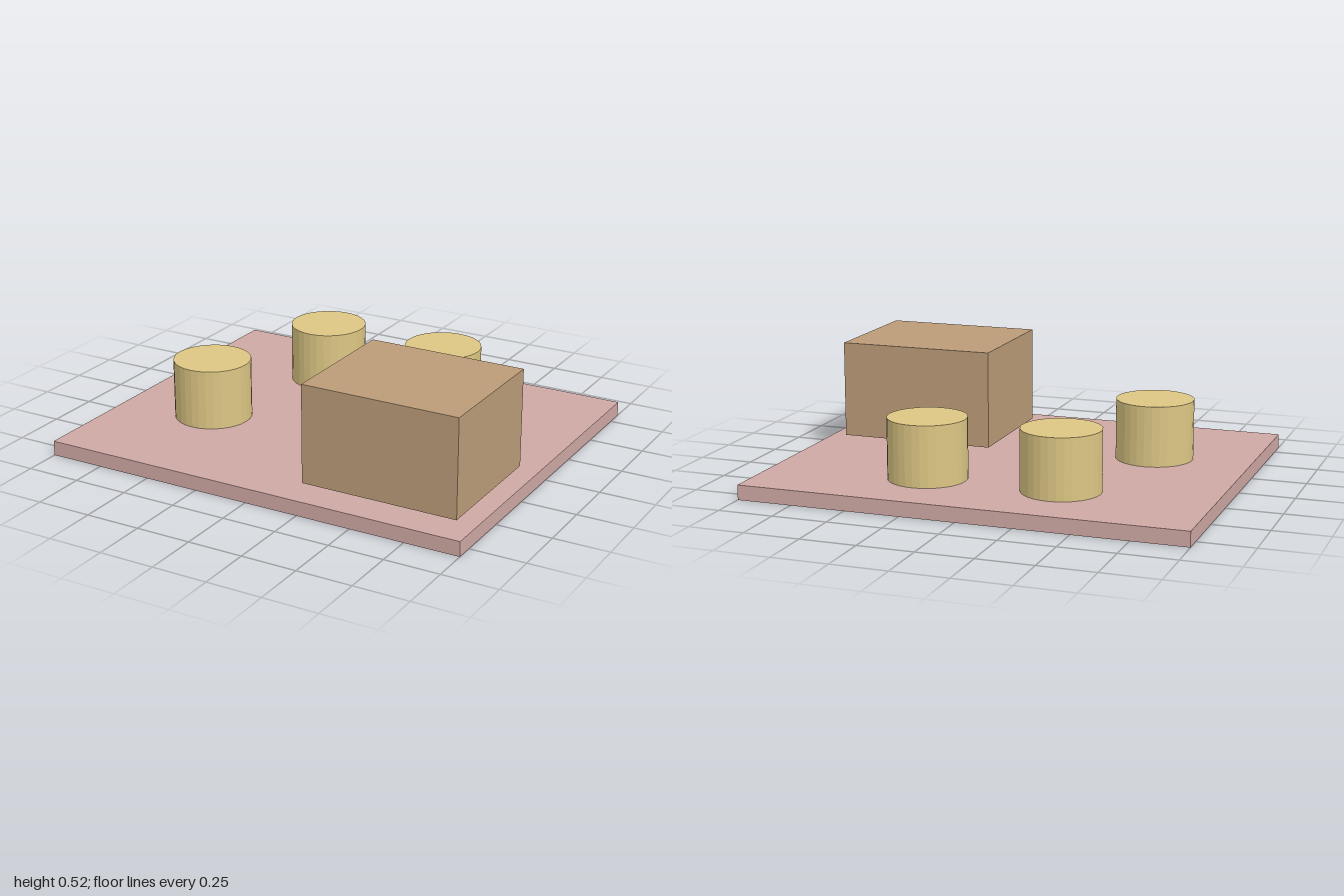
import * as THREE from 'three';

export function createModel() {
  const model = new THREE.Group();
  const mat = (color) => new THREE.MeshStandardMaterial({ color, flatShading: true });
  const rose = mat(0xcfa8a4), straw = mat(0xdcc684), tan = mat(0xbb9c79);

  const add = (name, geometry, material, x, y, z) => {
    const mesh = new THREE.Mesh(geometry, material);
    mesh.name = name;
    mesh.position.set(x, y, z);
    model.add(mesh);
  };

  // Floor slab
  const slabTop = 0.067;
  add('basePlate', new THREE.BoxGeometry(2, slabTop, 1.664), rose, 0, slabTop / 2, 0);

  // Three round stools standing on the slab
  const stoolHeight = 0.274;
  const stool = new THREE.CylinderGeometry(0.176, 0.176, stoolHeight, 32);
  const spots = [[-0.335, -0.447], [0.276, -0.447], [-0.557, 0.22]];
  spots.forEach(([x, z], i) =>
    add(`stool${i + 1}`, stool, straw, x, slabTop + stoolHeight / 2, z));

  // Large block, floating just clear of the slab
  add('block', new THREE.BoxGeometry(0.72, 0.444, 0.61), tan, 0.555, 0.302, 0.387);

  return model;
}
